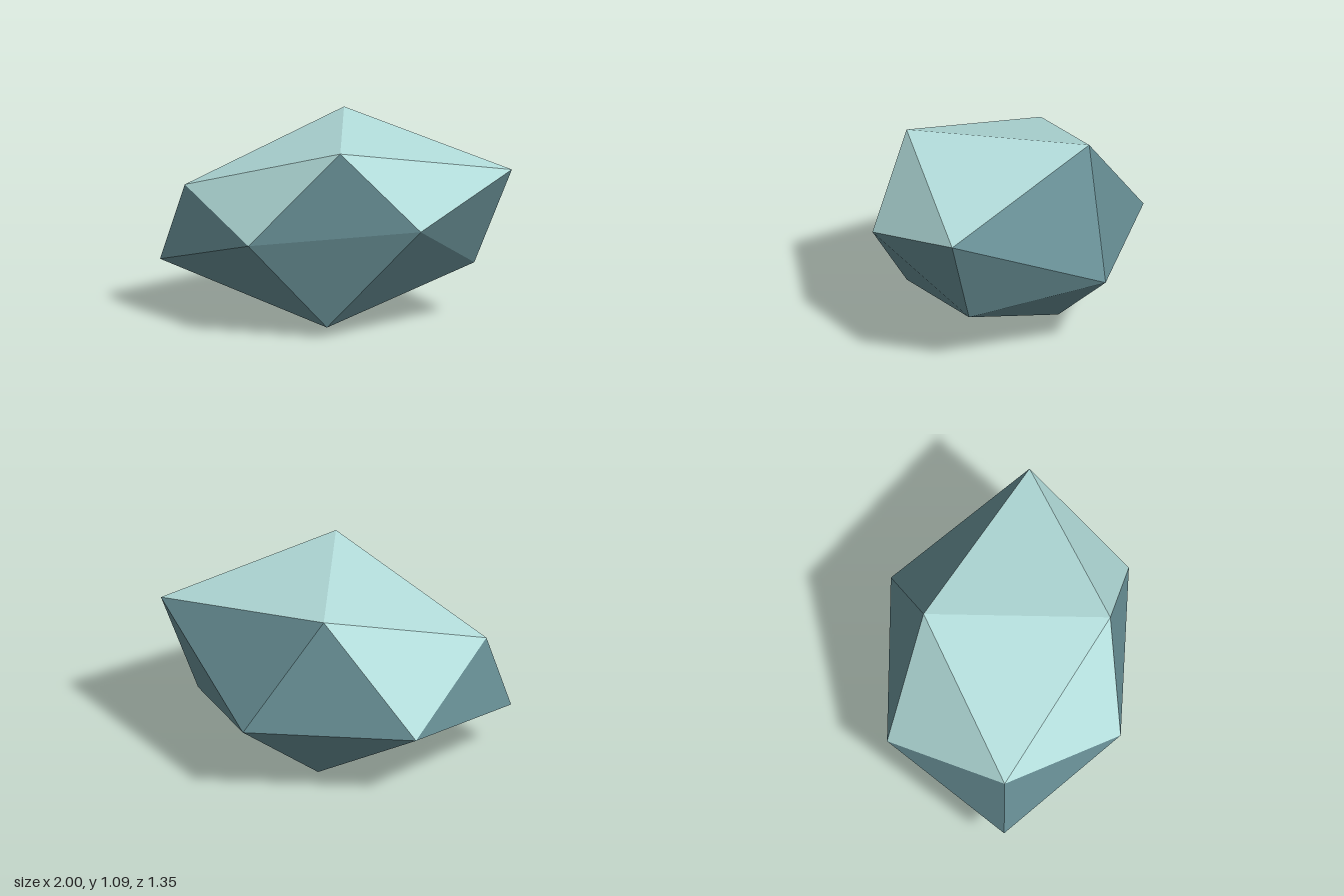
import * as THREE from 'three';

// Corners of a long, uneven twenty-sided rock
const corners = {
  A: [0.04, 1.07, 0.58], B: [0.03, 1.09, -0.48],   // top ridge
  C: [1.0, 0.87, 0.1], H: [0.785, 0.315, 0.05],    // +x end
  D: [-0.86, 0.745, 0.0], G: [-1.0, 0.31, 0.0],    // -x end
  E: [-0.48, 0.545, 0.65], F: [0.5, 0.64, 0.675],  // front edge
  K: [-0.51, 0.45, -0.675], L: [0.475, 0.46, -0.675], // back edge
  I: [-0.035, 0.06, 0.595], J: [0.075, 0.0, -0.31], // bottom ridge
};

// Facets, each named by its three corners, counter-clockwise from outside
const capFacets = ['ACB', 'ABD', 'AFC', 'ADE', 'BKD'];
const bodyFacets = [
  'AEF', 'IFE', 'BLK', 'JKL', 'BCL',        // front and back
  'FHC', 'LCH', 'EDG', 'KGD',               // ends
  'IJH', 'IGJ', 'IHF', 'IEG', 'JLH', 'JGK', // underside
];

// One flat-shaded mesh from a list of facets
function facetMesh(name, facets, colorName, color) {
  const points = facets.flatMap((f) => [...f].flatMap((corner) => corners[corner]));
  const geometry = new THREE.BufferGeometry();
  geometry.setAttribute('position', new THREE.Float32BufferAttribute(points, 3));
  geometry.computeVertexNormals();
  const material = new THREE.MeshStandardMaterial({ color, flatShading: true });
  material.name = colorName;
  const mesh = new THREE.Mesh(geometry, material);
  mesh.name = name;
  return mesh;
}

export function createModel() {
  const model = new THREE.Group();
  model.name = 'facetedRock';
  model.add(
    facetMesh('paleCap', capFacets, 'paleTeal', 0xb2dcda),
    facetMesh('rockBody', bodyFacets, 'slateTeal', 0x668d93),
  );
  return model;
}
